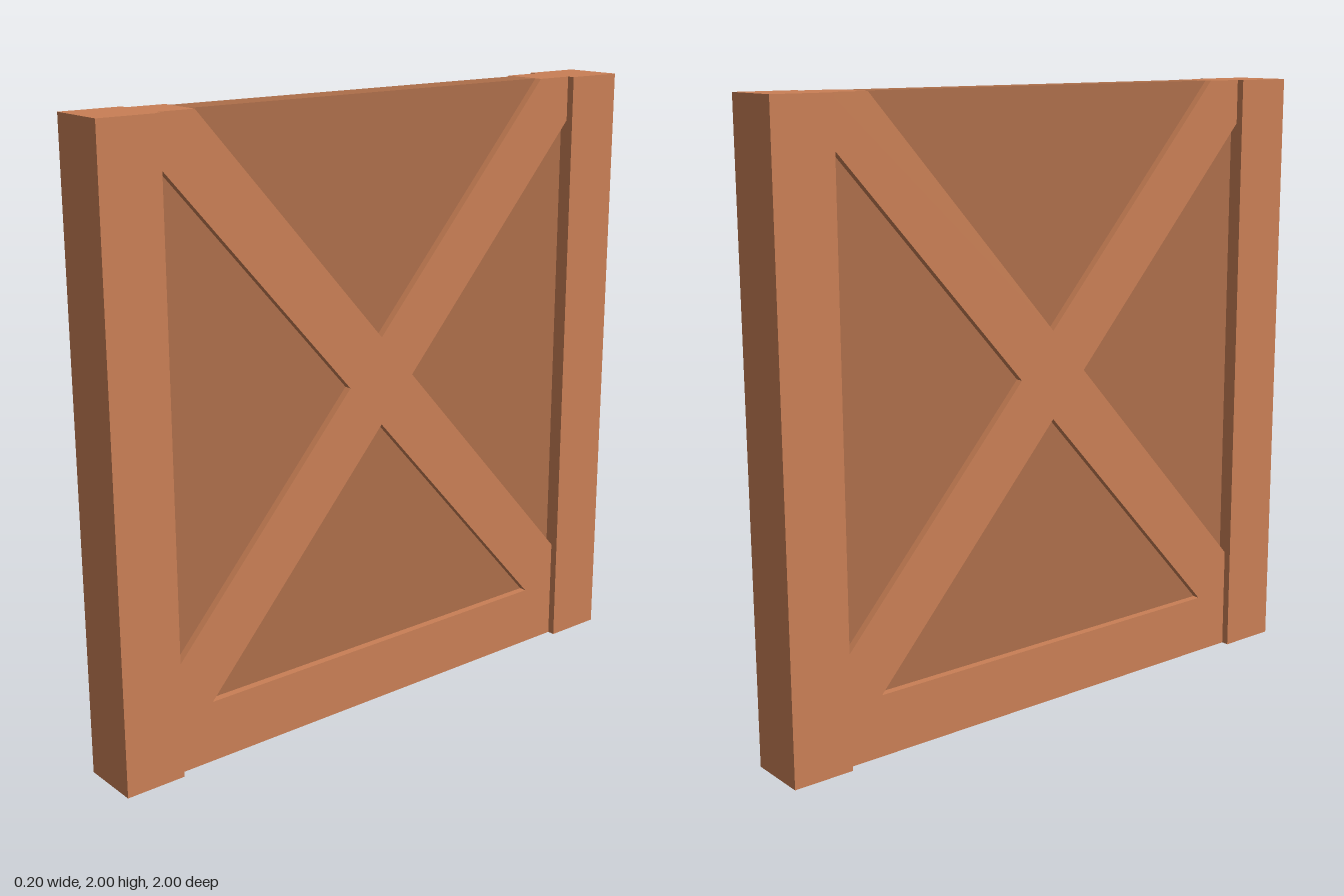
import * as THREE from 'three';

const lightWood = new THREE.MeshStandardMaterial({ color: 0xc97f55, flatShading: true });
const darkWood = new THREE.MeshStandardMaterial({ color: 0xad6e4a, flatShading: true });

const points = (list) => list.map(([z, y]) => new THREE.Vector2(z, y));

// Mirrors the right half of an outline (listed bottom to top) into a closed shape
function mirroredShape(half) {
  const left = half.filter(([z]) => z !== 0).reverse().map(([z, y]) => [-z, y]);
  return new THREE.Shape(points([...half, ...left]));
}

// Extrudes a side outline (z, y) to a slab centred on x = 0
function slab(name, shape, thickness, material) {
  const geometry = new THREE.ExtrudeGeometry(shape, { depth: thickness, bevelEnabled: false });
  geometry.translate(0, 0, -thickness / 2).rotateY(-Math.PI / 2);
  const mesh = new THREE.Mesh(geometry, material);
  mesh.name = name;
  return mesh;
}

export function createModel() {
  const group = new THREE.Group();
  group.name = 'crossBracedPanel';

  // Upright posts at the front and back ends
  for (const side of [1, -1]) {
    const post = new THREE.Mesh(new THREE.BoxGeometry(0.2, 2, 0.2), lightWood);
    post.position.set(0, 1, side * 0.9);
    post.name = side > 0 ? 'frontPost' : 'backPost';
    group.add(post);
  }

  // Bottom rail and crossed braces in one piece, open at the sides and top
  const brace = mirroredShape([
    [0.8, 0], [0.8, 0.343], [0.127, 1.1], [0.8, 1.857], [0.8, 2], [0.673, 2], [0, 1.243],
  ]);
  brace.holes.push(new THREE.Path(points([[0.673, 0.2], [0, 0.957], [-0.673, 0.2]])));
  group.add(slab('crossBrace', brace, 0.15, lightWood));

  // Recessed infill, its top corners tucked inside the braces
  const infill = mirroredShape([[0.8, 0.1], [0.8, 1.9], [0.673, 2]]);
  group.add(slab('infillPanel', infill, 0.1, darkWood));

  return group;
}
